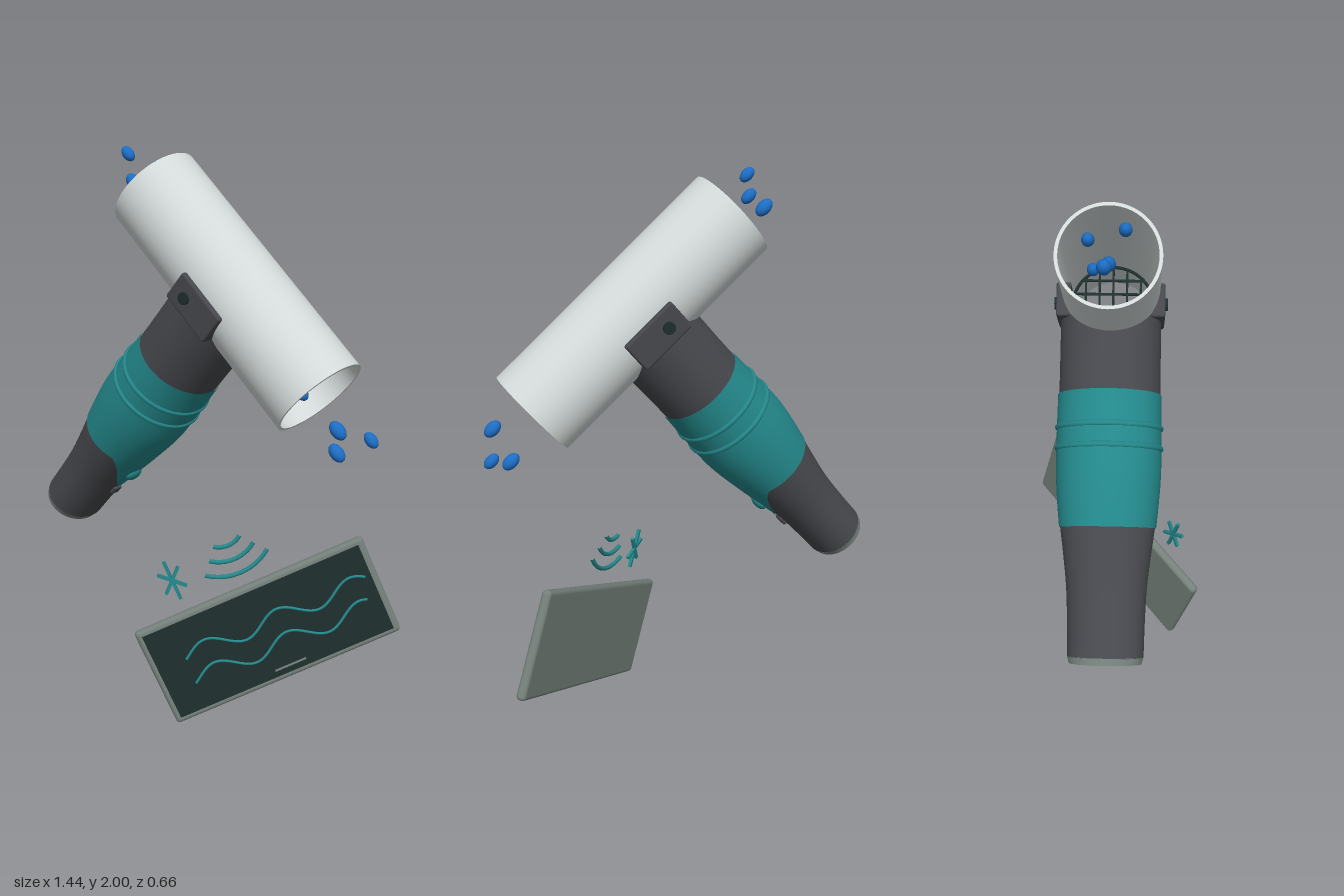
import * as THREE from 'three';
import { mergeVertices } from 'three/addons/utils/BufferGeometryUtils.js';
import { RoundedBoxGeometry } from 'three/addons/geometries/RoundedBoxGeometry.js';

const mat = (name, color) => {
  const m = new THREE.MeshStandardMaterial({ color });
  m.name = name;
  return m;
};

export function createModel() {
  const pale = mat('pale grey', 0xd3dad9);
  const charcoal = mat('charcoal', 0x47484d);
  const teal = mat('teal', 0x23878a);
  const black = mat('dark glass', 0x1f2e2e);
  const grey = mat('grey', 0x75807b);
  const blue = mat('blue', 0x1c6dc4);

  const model = new THREE.Group();
  const add = (parent, name, geometry, material, x = 0, y = 0, z = 0) => {
    const m = new THREE.Mesh(geometry, material);
    m.name = name;
    m.position.set(x, y, z);
    parent.add(m);
    return m;
  };

  // Device frame: x runs along the tube, y up the handle
  const device = new THREE.Group();
  device.name = 'device';
  device.position.set(0.18, 1.557, -0.008);
  device.rotation.z = -0.712;
  model.add(device);

  // Hollow tube, one lathe per wall so the rims stay sharp
  const tube = new THREE.Group();
  tube.name = 'tube';
  tube.rotation.z = -Math.PI / 2;
  device.add(tube);
  const R = 0.166, r = 0.155, L = 0.471;
  const wall = [[R, -L], [R, L], [r, L], [r, -L], [R, -L]].map(p => new THREE.Vector2(...p));
  ['outerWall', 'upperRim', 'innerWall', 'lowerRim'].forEach((name, i) =>
    add(tube, name, new THREE.LatheGeometry([wall[i], wall[i + 1]], 64), pale));

  // Mesh screen inside the tube
  const screenX = 0.23;
  add(device, 'screenRing', new THREE.TorusGeometry(0.15, 0.006, 8, 48), black, screenX).rotation.y = Math.PI / 2;
  for (let i = -2; i <= 2; i++) {
    const o = i * 0.05, chord = 2 * Math.sqrt(0.15 ** 2 - o * o);
    add(device, 'screenBar', new THREE.BoxGeometry(0.008, chord, 0.008), black, screenX, 0, o);
    add(device, 'screenBar', new THREE.BoxGeometry(0.008, 0.008, chord), black, screenX, o, 0);
  }

  // Handle profile: y, radius in x, radius in z
  const profile = [
    [-1.26, 0.109, 0.127], [-1.12, 0.112, 0.13], [-1.01, 0.118, 0.135], [-0.9, 0.134, 0.147],
    [-0.8, 0.15, 0.16], [-0.64, 0.17, 0.173], [-0.5, 0.167, 0.174], [-0.36, 0.16, 0.172], [0, 0.163, 0.171],
  ];
  const curve = new THREE.CatmullRomCurve3(profile.map(p => new THREE.Vector3(p[1], p[0], p[2])));
  const samples = curve.getPoints(120);
  const radii = y => {
    const i = Math.max(1, samples.findIndex(p => p.y >= y));
    const a = samples[i - 1], b = samples[i];
    return a.clone().lerp(b, THREE.MathUtils.clamp((y - a.y) / (b.y - a.y), 0, 1));
  };
  // Skin of the handle between two edges that may vary around it
  const skin = (bottom, top, grow = 0) => {
    let g = new THREE.CylinderGeometry(1, 1, 1, 72, 24, true);
    const p = g.attributes.position;
    for (let i = 0; i < p.count; i++) {
      const x = p.getX(i), z = p.getZ(i);
      const y = THREE.MathUtils.lerp(bottom(x, z), top(x, z), p.getY(i) + 0.5);
      const s = radii(y);
      p.setXYZ(i, x * (s.x + grow), y, z * (s.z + grow));
    }
    g.deleteAttribute('uv');
    g.deleteAttribute('normal');
    g = mergeVertices(g);
    g.computeVertexNormals();
    return g;
  };

  // Collar follows the round underside of the tube
  const saddle = (x, z) => -Math.sqrt(Math.max(0, 0.164 ** 2 - (0.171 * z) ** 2));
  add(device, 'collar', skin(() => -0.37, saddle), charcoal);
  add(device, 'lowerGrip', skin(() => -1.235, () => -0.7), charcoal);
  // Teal sleeve with a pointed tongue on the +x side
  const tongue = (x, z) => {
    const u = Math.max(0, 1 - Math.abs(Math.atan2(z, x)) / (Math.PI / 3));
    return -0.807 - 0.19 * u * u * (3 - 2 * u);
  };
  add(device, 'sleeve', skin(tongue, () => -0.357, 0.004), teal);
  for (const y of [-0.47, -0.54]) {
    const s = radii(y);
    const ring = new THREE.TorusGeometry(1, 0.06, 10, 64).rotateX(Math.PI / 2);
    add(device, 'sleeveRidge', ring, teal, 0, y, 0).scale.set(s.x, 0.17, s.z);
  }
  add(device, 'button', new THREE.SphereGeometry(0.034, 24, 16), teal, 0.136, -0.9, 0).scale.x = 0.55;
  add(device, 'catch', new RoundedBoxGeometry(0.03, 0.04, 0.04, 2, 0.008), charcoal, 0.113, -1.03, 0);
  add(device, 'endCap', new THREE.CylinderGeometry(0.11, 0.104, 0.024, 64), grey, 0, -1.245, 0).scale.z = 1.16;

  // Clamps and bolts on both sides
  for (const side of [1, -1]) {
    add(device, 'clamp', new RoundedBoxGeometry(0.21, 0.115, 0.05, 2, 0.008), charcoal, 0, -0.048, side * 0.158);
    const bolt = add(device, 'bolt', new THREE.CylinderGeometry(0.021, 0.021, 0.02, 24), black, -0.042, -0.049, side * 0.182);
    bolt.rotation.x = Math.PI / 2;
  }

  // Droplets at and inside both tube ends
  const drops = [
    [-0.29, 1.88, -0.018], [-0.21, 1.93, -0.068], [-0.253, 1.982, 0.045], [-0.103, 1.8, -0.01], [-0.06, 1.76, -0.06],
    [0.617, 1.081, 0], [0.66, 1.182, 0.065], [0.697, 1.123, -0.075],
    [0.47, 1.256, 0], [0.454, 1.293, -0.06], [0.389, 1.34, 0.05],
  ];
  drops.forEach(([x, y, z], i) => {
    const d = add(model, 'droplet', new THREE.SphereGeometry(0.021, 20, 14), blue, x, y, z);
    const s = i % 3 === 0 || i === 5 ? 1.1 : 0.95;
    d.scale.set(1.5 * s, s, s);
    d.rotation.z = -0.75;
  });

  // Tablet frame: x along its width, y up its face, z out of the display
  const tablet = new THREE.Group();
  tablet.name = 'tablet';
  tablet.quaternion.setFromRotationMatrix(new THREE.Matrix4().makeBasis(
    new THREE.Vector3(0.651, 0.390, -0.651),
    new THREE.Vector3(-0.356, 0.909, 0.221),
    new THREE.Vector3(0.678, 0.088, 0.730)));
  tablet.position.set(0.358, 0.352, 0.002);
  model.add(tablet);
  add(tablet, 'tabletBody', new RoundedBoxGeometry(0.875, 0.385, 0.036, 4, 0.015), grey);
  add(tablet, 'display', new THREE.BoxGeometry(0.83, 0.342, 0.006), black, 0, 0, 0.017);
  add(tablet, 'displayMark', new THREE.BoxGeometry(0.12, 0.007, 0.003), grey, 0.026, -0.145, 0.021);

  // Two wavy traces on the display
  for (const [from, to, mean] of [[-0.306, 0.393, 0.04], [-0.31, 0.369, -0.055]]) {
    const pts = [];
    for (let i = 0; i <= 40; i++) {
      const s = THREE.MathUtils.lerp(from, to, i / 40);
      pts.push(new THREE.Vector3(s, mean + 0.032 * Math.cos((s - 0.06) * 2 * Math.PI / 0.28), 0));
    }
    add(tablet, 'trace', new THREE.TubeGeometry(new THREE.CatmullRomCurve3(pts), 100, 0.005, 8), teal, 0, 0, 0.021);
  }

  // Signal arcs above the tablet
  const half = 0.68;
  for (const radius of [0.08, 0.135, 0.19]) {
    const arc = add(tablet, 'signalArc', new THREE.TorusGeometry(radius, 0.008, 10, 32, 2 * half), teal, 0, 0.438, 0.015);
    arc.rotation.z = -Math.PI / 2 - half;
  }
  // Plain crossed bars beside the arcs
  for (const [angle, length] of [[0, 0.15], [0.8, 0.11], [-0.8, 0.11]]) {
    const bar = add(tablet, 'crossBar', new THREE.BoxGeometry(0.011, length, 0.012), teal, -0.231, 0.321, 0.015);
    bar.rotation.z = angle;
  }
  return model;
}
